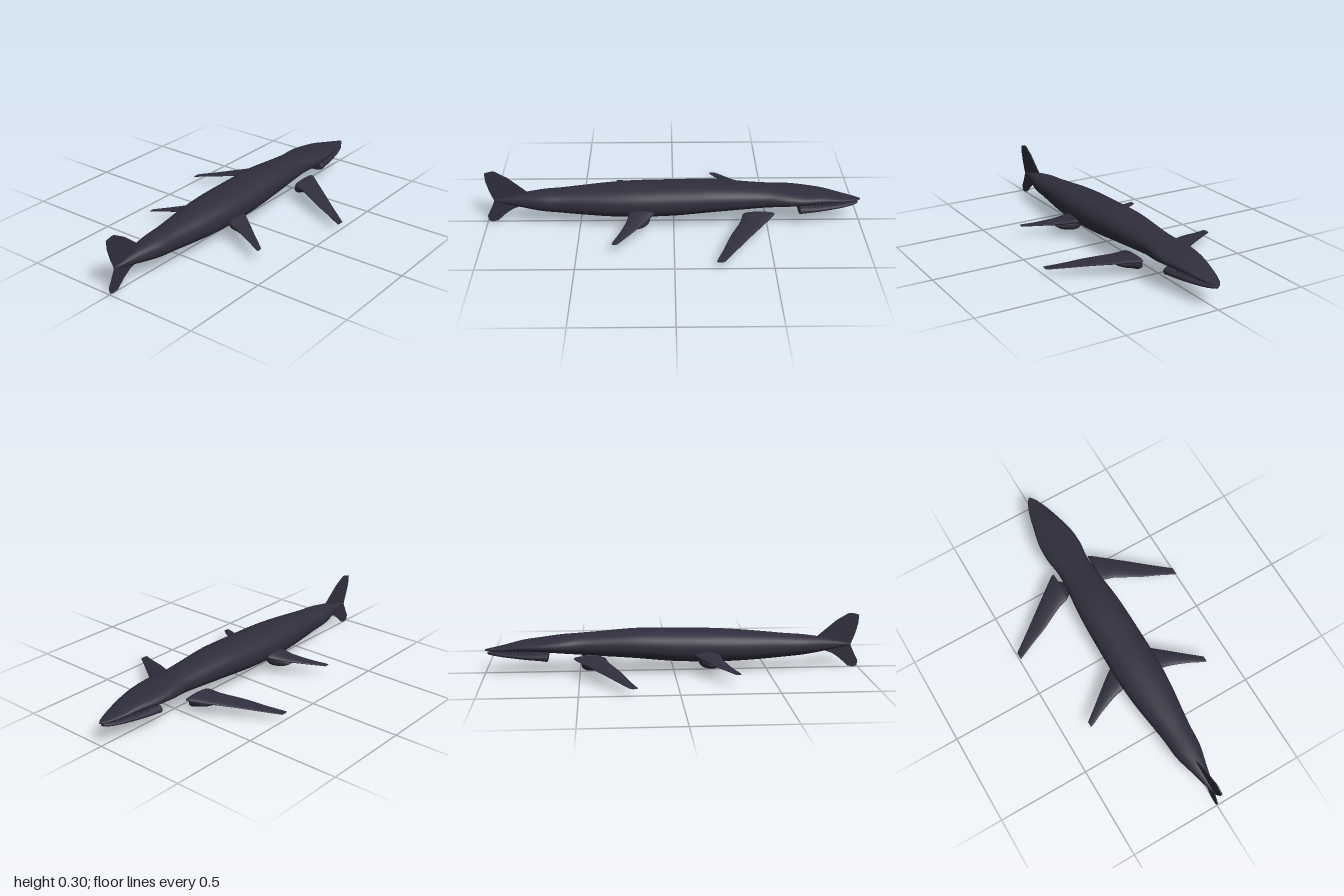
import * as THREE from 'three';

const skin = new THREE.MeshStandardMaterial({ color: 0x302e3d });
skin.name = 'dark slate skin';

// Smooth skin through oval sections [t, aCentre, aHalf, bCentre, bHalf];
// place() turns (t, a, b) into a point, flip reverses the faces for mirrored parts.
function loft(sections, place, { steps = 40, sides = 28, power = 0.88, flip = false } = {}) {
  const pos = [], index = [];
  const sample = (u, k) => {
    const f = u * (sections.length - 1), i = Math.min(Math.floor(f), sections.length - 2), w = f - i;
    const at = (n) => sections[Math.max(0, Math.min(sections.length - 1, n))][k];
    const p0 = at(i - 1), p1 = at(i), p2 = at(i + 1), p3 = at(i + 2);
    return p1 + 0.5 * w * (p2 - p0 + w * (2 * p0 - 5 * p1 + 4 * p2 - p3 + w * (3 * (p1 - p2) + p3 - p0)));
  };
  const bend = (v) => Math.sign(v) * Math.pow(Math.abs(v), power);
  const tri = (a, b, c) => (flip ? index.push(a, c, b) : index.push(a, b, c));
  for (let i = 0; i <= steps; i++) {
    const [t, ac, ah, bc, bh] = [0, 1, 2, 3, 4].map((k) => sample(i / steps, k));
    for (let j = 0; j < sides; j++) {
      const g = (j / sides) * Math.PI * 2;
      pos.push(...place(t, ac + Math.max(ah, 0) * bend(Math.cos(g)), bc + Math.max(bh, 0) * bend(Math.sin(g))));
    }
  }
  for (let i = 0; i < steps; i++) {
    for (let j = 0; j < sides; j++) {
      const a = i * sides + j, b = i * sides + ((j + 1) % sides);
      tri(a, b, a + sides);
      tri(b, b + sides, a + sides);
    }
  }
  // End caps
  for (let j = 1; j < sides - 1; j++) {
    const e = steps * sides;
    tri(0, j + 1, j);
    tri(e, e + j, e + j + 1);
  }
  const geo = new THREE.BufferGeometry();
  geo.setAttribute('position', new THREE.Float32BufferAttribute(pos, 3));
  geo.setIndex(index);
  geo.computeVertexNormals();
  return geo;
}

function add(group, name, geo) {
  const mesh = new THREE.Mesh(geo, skin);
  mesh.name = name;
  group.add(mesh);
  return mesh;
}

// Lengthwise part from rows [z, halfWidth, bottom, top]
const lengthwise = (rows, options) => loft(
  rows.map(([z, w, lo, hi]) => [z, 0, w, (lo + hi) / 2, (hi - lo) / 2]),
  (t, a, b) => [a, b, t], options);

// Sideways part from rows [x, y, halfThickness, zFront, zBack]
const sideways = (rows, side, options) => loft(
  rows.map(([x, y, h, z0, z1]) => [x, y, h, (z0 + z1) / 2, (z1 - z0) / 2]),
  (t, a, b) => [side * t, a, b], { ...options, flip: side < 0 });

export function createModel() {
  const model = new THREE.Group();
  model.name = 'marineReptile';

  // Head, trunk and tail stem in one skin
  add(model, 'body', lengthwise([
    [-1, 0.004, 0.122, 0.13], [-0.97, 0.025, 0.121, 0.135], [-0.9, 0.052, 0.122, 0.148],
    [-0.8, 0.078, 0.122, 0.172], [-0.7, 0.1, 0.118, 0.184], [-0.6, 0.104, 0.108, 0.198],
    [-0.5, 0.092, 0.098, 0.207], [-0.4, 0.097, 0.09, 0.214], [-0.2, 0.115, 0.075, 0.228],
    [0, 0.12, 0.056, 0.226], [0.2, 0.12, 0.05, 0.222], [0.35, 0.11, 0.052, 0.213],
    [0.5, 0.09, 0.06, 0.2], [0.6, 0.078, 0.068, 0.19], [0.7, 0.07, 0.077, 0.182],
    [0.8, 0.045, 0.092, 0.168], [0.88, 0.025, 0.107, 0.15], [0.96, 0.003, 0.122, 0.13],
  ], { steps: 85, sides: 40 }));

  // Lower jaw with a blunt back end
  add(model, 'lowerJaw', lengthwise([
    [-0.985, 0.01, 0.103, 0.117], [-0.95, 0.034, 0.097, 0.117], [-0.88, 0.055, 0.088, 0.115],
    [-0.78, 0.074, 0.077, 0.114], [-0.7, 0.085, 0.07, 0.117], [-0.67, 0.086, 0.067, 0.119],
    [-0.665, 0.05, 0.08, 0.112],
  ], { power: 0.75 }));

  // Small teeth along both sides of the mouth
  const teeth = new THREE.Group();
  teeth.name = 'teeth';
  model.add(teeth);
  for (const side of [-1, 1]) {
    for (let i = 0; i < 12; i++) {
      const z = -0.95 + i * 0.018;
      const tooth = add(teeth, 'tooth', new THREE.ConeGeometry(0.005, 0.022, 6));
      tooth.position.set(side * (0.025 + i * 0.0035), 0.117, z);
      tooth.rotation.x = Math.PI;
    }
  }

  for (const side of [-1, 1]) {
    const label = side > 0 ? 'left' : 'right';
    // Swept flipper blades
    add(model, label + 'FrontFlipper', sideways([
      [0.108, 0.098, 0.012, -0.53, -0.37], [0.125, 0.096, 0.016, -0.525, -0.36],
      [0.18, 0.087, 0.014, -0.485, -0.345], [0.3, 0.069, 0.008, -0.395, -0.287],
      [0.4, 0.052, 0.005, -0.32, -0.248], [0.485, 0.039, 0.003, -0.258, -0.212],
      [0.495, 0.037, 0.002, -0.25, -0.213],
    ], side, { power: 1 }));
    add(model, label + 'RearFlipper', sideways([
      [0.08, 0.108, 0.024, 0.09, 0.23], [0.12, 0.102, 0.02, 0.105, 0.238],
      [0.18, 0.089, 0.014, 0.148, 0.25], [0.27, 0.075, 0.007, 0.218, 0.282],
      [0.35, 0.064, 0.003, 0.28, 0.318], [0.36, 0.062, 0.002, 0.288, 0.316],
    ], side, { power: 1 }));
    // Rounded limb roots under the blades
    add(model, label + 'Shoulder', sideways([
      [0.068, 0.05, 0.002, -0.45, -0.44], [0.076, 0.051, 0.02, -0.475, -0.41],
      [0.1, 0.063, 0.034, -0.49, -0.39], [0.13, 0.073, 0.034, -0.488, -0.39],
      [0.165, 0.07, 0.024, -0.47, -0.385], [0.195, 0.07, 0.012, -0.45, -0.38],
      [0.204, 0.07, 0.002, -0.42, -0.4],
    ], side));
    add(model, label + 'Hip', sideways([
      [0.07, 0.08, 0.02, 0.14, 0.19], [0.1, 0.079, 0.034, 0.125, 0.205],
      [0.14, 0.074, 0.03, 0.13, 0.212], [0.18, 0.07, 0.02, 0.155, 0.225],
      [0.205, 0.068, 0.003, 0.18, 0.215],
    ], side));
  }

  // Thin upright tail fin, outlined in (z, y)
  const outline = [
    [0.77, 0.168], [0.82, 0.21], [0.88, 0.26], [0.945, 0.297], [0.965, 0.298], [1, 0.288],
    [0.997, 0.24], [0.98, 0.18], [0.958, 0.125], [0.975, 0.085], [1, 0.035], [0.995, 0.008],
    [0.975, 0.001], [0.945, 0.008], [0.9, 0.05], [0.86, 0.078], [0.8, 0.1],
  ].map(([z, y]) => new THREE.Vector2(z, y));
  const fin = new THREE.ExtrudeGeometry(new THREE.Shape(outline), { depth: 0.006, bevelEnabled: false });
  fin.translate(0, 0, -0.003).rotateY(-Math.PI / 2);
  add(model, 'tailFin', fin);

  return model;
}
